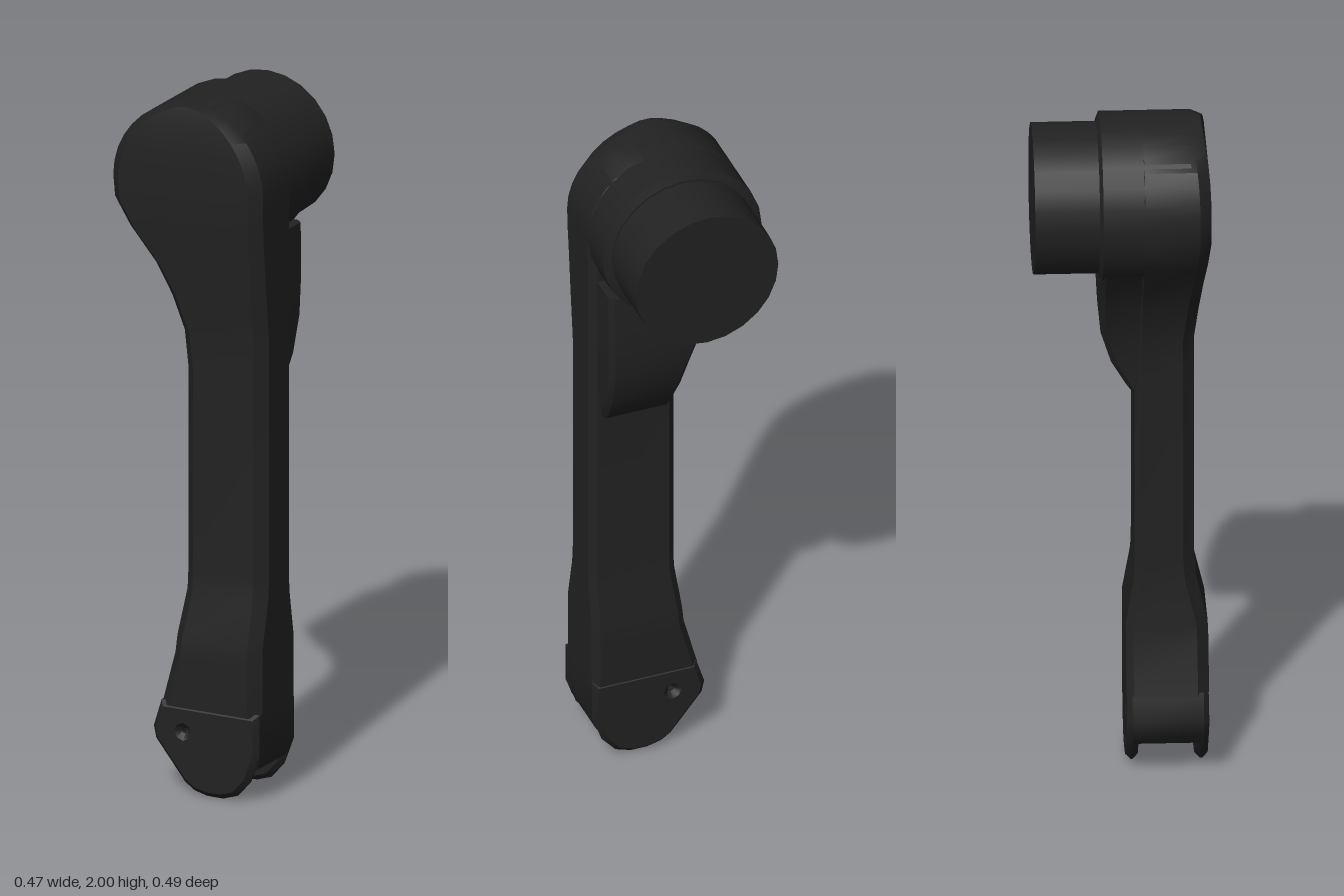
import * as THREE from 'three';
import { toCreasedNormals } from 'three/addons/utils/BufferGeometryUtils.js';

const HEAD_Y = 1.763, HEAD_R = 0.237;

// Skin chamfered rectangles stacked upwards; each row is [y, xMin, xMax, zFront, zBack]
function loft(rows, frontCut, backCut) {
  const pos = [], idx = [], n = 8;
  for (const [y, x0, x1, zf, zb] of rows) {
    const limit = Math.min((x1 - x0) * 0.3, (zf - zb) * 0.4);
    const f = Math.min(frontCut, limit), b = Math.min(backCut, limit);
    const ring = [[x1 - f, zf], [x1, zf - f], [x1, zb + b], [x1 - b, zb],
      [x0 + b, zb], [x0, zb + b], [x0, zf - f], [x0 + f, zf]];
    ring.forEach(([x, z]) => pos.push(x, y, z));
  }
  const last = (rows.length - 1) * n;
  for (let r = 0; r < last; r += n) {
    for (let i = 0; i < n; i++) {
      const j = (i + 1) % n;
      idx.push(r + i, r + j, r + n + j, r + i, r + n + j, r + n + i);
    }
  }
  for (let i = 1; i < n - 1; i++) {
    idx.push(0, i + 1, i, last, last + i, last + i + 1);
  }
  const geo = new THREE.BufferGeometry();
  geo.setAttribute('position', new THREE.Float32BufferAttribute(pos, 3));
  geo.setIndex(idx);
  return toCreasedNormals(geo, 0.6);
}

// Plate with a pin hole, spanning zBack to zFront
function plate(points, zBack, zFront, bevel) {
  const shape = new THREE.Shape(points.map(([x, y]) => new THREE.Vector2(x, y)));
  const hole = new THREE.Path();
  hole.absarc(0, 0.18, 0.01, 0, Math.PI * 2, true);
  shape.holes.push(hole);
  const geo = new THREE.ExtrudeGeometry(shape, {
    depth: zFront - zBack - 2 * bevel, curveSegments: 4, bevelEnabled: bevel > 0,
    bevelThickness: bevel, bevelSize: bevel, bevelOffset: -bevel, bevelSegments: 1,
  });
  geo.translate(0, 0, zBack + bevel);
  return toCreasedNormals(geo, 0.6);
}

// Cylinder lying along z
function disc(rBack, rFront, zBack, zFront, y) {
  const geo = new THREE.CylinderGeometry(rFront, rBack, zFront - zBack, 24);
  geo.rotateX(Math.PI / 2);
  geo.translate(0, y, (zBack + zFront) / 2);
  return geo;
}

export function createModel() {
  const group = new THREE.Group();
  const material = new THREE.MeshStandardMaterial({ color: 0x222222 });
  const add = (name, geometry) => {
    const mesh = new THREE.Mesh(geometry, material);
    mesh.name = name;
    group.add(mesh);
  };

  // Arm: flared foot, straight shaft, then a curve out to the round head
  const rows = [
    [0.25, -0.08, 0.235, 0.245, 0.015],
    [0.40, -0.04, 0.235, 0.245, 0.015],
    [0.45, -0.035, 0.235, 0.243, 0.015],
    [0.58, -0.02, 0.235, 0.212, 0.038],
    [0.65, -0.02, 0.235, 0.206, 0.04],
    [1.22, -0.02, 0.235, 0.206, 0.04],
    [1.33, -0.032, 0.235, 0.206, 0.04],
    [1.43, -0.065, 0.235, 0.217, 0.04],
    [1.52, -0.11, 0.235, 0.227, 0.04],
    [1.62, -0.187, 0.235, 0.237, 0.04],
    [1.70, -0.232, 0.236, 0.244, 0.04],
  ];
  for (let i = 0; i <= 8; i++) {
    const a = (i / 8) * 1.4;
    const w = HEAD_R * Math.cos(a), s = Math.sin(a);
    rows.push([HEAD_Y + HEAD_R * s, -w, w, 0.245 - 0.022 * s ** 3, 0.04]);
  }
  add('arm', loft(rows, 0.032, 0.02));

  // Round head, its chamfered rim and the stub behind it
  add('headBarrel', disc(HEAD_R, HEAD_R, -0.056, 0.19, HEAD_Y));
  add('headRim', disc(0.215, HEAD_R, -0.065, -0.056, HEAD_Y));
  add('stub', disc(0.212, 0.212, -0.245, -0.06, 1.76));

  // Fairing that blends the back of the head into the shaft
  add('backFairing', loft([
    [1.15, 0.0, 0.2, 0.06, 0.036],
    [1.18, -0.005, 0.205, 0.06, 0.015],
    [1.25, -0.012, 0.21, 0.06, -0.025],
    [1.35, -0.03, 0.213, 0.06, -0.055],
    [1.45, -0.068, 0.215, 0.06, -0.06],
    [1.54, -0.12, 0.216, 0.06, -0.06],
    [1.62, -0.18, 0.216, 0.06, -0.056],
  ], 0.005, 0.015));

  // Forked foot: two rounded cheeks with a shorter core between them
  const cheek = [[-0.075, 0.26], [-0.1, 0.18], [-0.092, 0.145], [0.0, 0.03], [0.03, 0.01],
    [0.07, 0.0], [0.12, 0.0], [0.165, 0.015], [0.205, 0.06], [0.235, 0.14], [0.235, 0.26]];
  const core = [[-0.075, 0.26], [-0.1, 0.18], [-0.092, 0.145], [-0.055, 0.098],
    [0.02, 0.12], [0.1, 0.13], [0.17, 0.12], [0.22, 0.095], [0.235, 0.14], [0.235, 0.26]];
  add('frontCheek', plate(cheek, 0.208, 0.244, 0.015));
  add('backCheek', plate(cheek, 0.016, 0.05, 0.015));
  add('footCore', plate(core, 0.035, 0.223, 0));

  return group;
}
